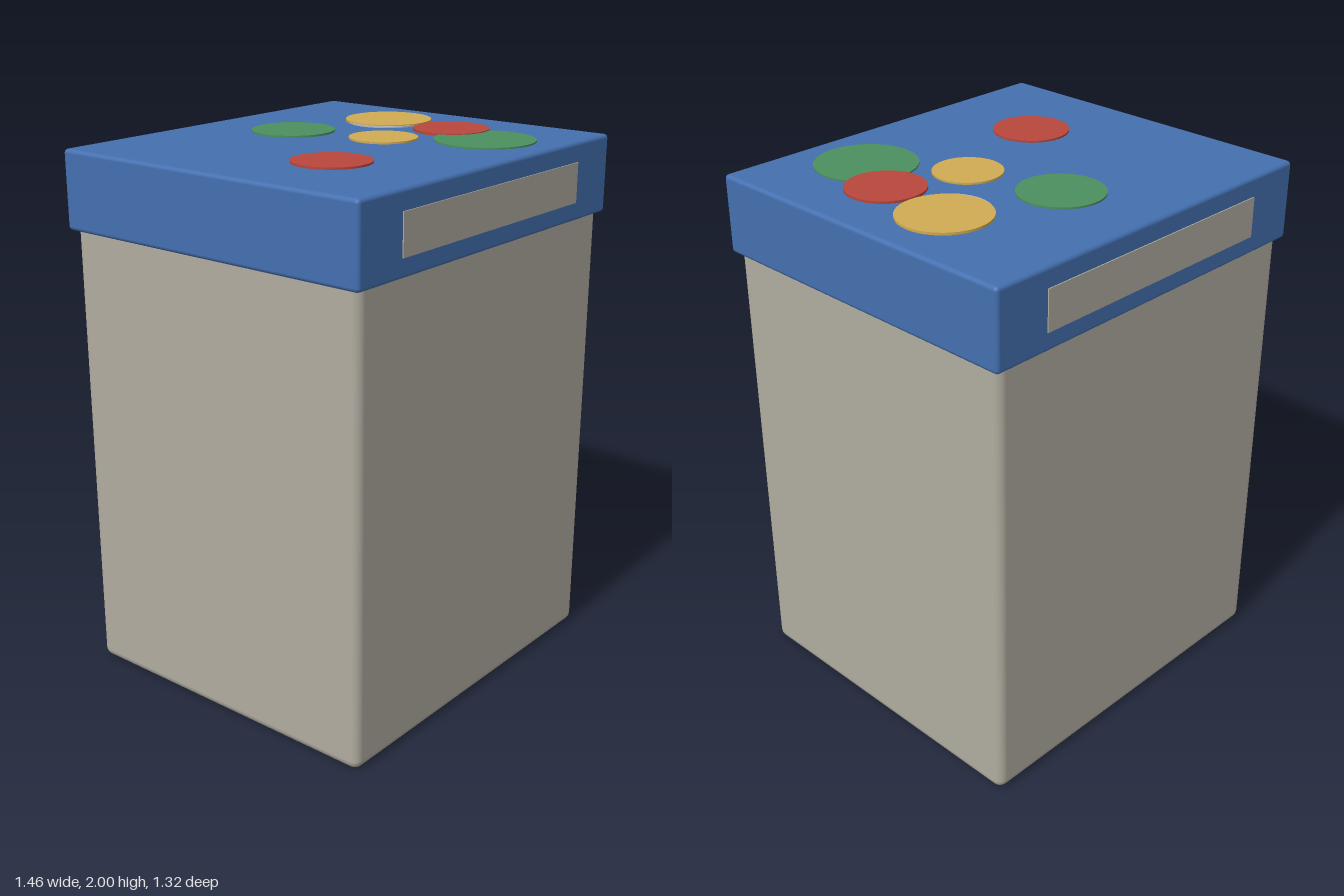
import * as THREE from 'three';
import { RoundedBoxGeometry } from 'three/addons/geometries/RoundedBoxGeometry.js';

const material = (name, color) => {
  const m = new THREE.MeshStandardMaterial({ color });
  m.name = name;
  return m;
};

export function createModel() {
  const group = new THREE.Group();
  const grey = material('warm grey', 0xb0aca0);
  const blue = material('blue', 0x4470b0);
  const red = material('red', 0xb8463c);
  const yellow = material('yellow', 0xd0ab52);
  const green = material('green', 0x4c8f5e);
  const pale = material('pale grey', 0xb4b6bc);

  const add = (name, geometry, mat, x, y, z) => {
    const mesh = new THREE.Mesh(geometry, mat);
    mesh.name = name;
    mesh.position.set(x, y, z);
    group.add(mesh);
    return mesh;
  };

  // Tall container, its top tucked inside the lid
  add('body', new RoundedBoxGeometry(1.42, 1.78, 1.275, 3, 0.035), grey, 0, 0.89, 0);

  // Overhanging lid
  add('lid', new RoundedBoxGeometry(1.464, 0.288, 1.312, 2, 0.015), blue, 0, 1.847, 0);

  // Label strips on the front and back of the lid
  for (const side of [1, -1]) {
    add(side > 0 ? 'frontLabel' : 'backLabel', new THREE.BoxGeometry(1.03, 0.147, 0.008), grey, 0, 1.845, side * 0.656);
  }

  // Flat discs on the lid: name, material, x, z, radius, top height
  const discs = [
    ['backGreenDisc', green, 0.05, -0.28, 0.154, 1.998],
    ['frontGreenDisc', green, 0.325, 0.385, 0.184, 1.997],
    ['lowerPaleDisc', pale, 0.43, -0.137, 0.148, 1.996],
    ['largeYellowDisc', yellow, 0.458, -0.15, 0.164, 2.0],
    ['smallYellowDisc', yellow, 0.133, 0.077, 0.125, 1.998],
    ['leftRedDisc', red, -0.33, 0.22, 0.14, 1.998],
    ['rightRedDisc', red, 0.432, 0.163, 0.142, 2.0],
  ];
  for (const [name, mat, x, z, r, top] of discs) {
    const h = top - 1.988;
    add(name, new THREE.CylinderGeometry(r, r, h, 40), mat, x, top - h / 2, z);
  }

  return group;
}
